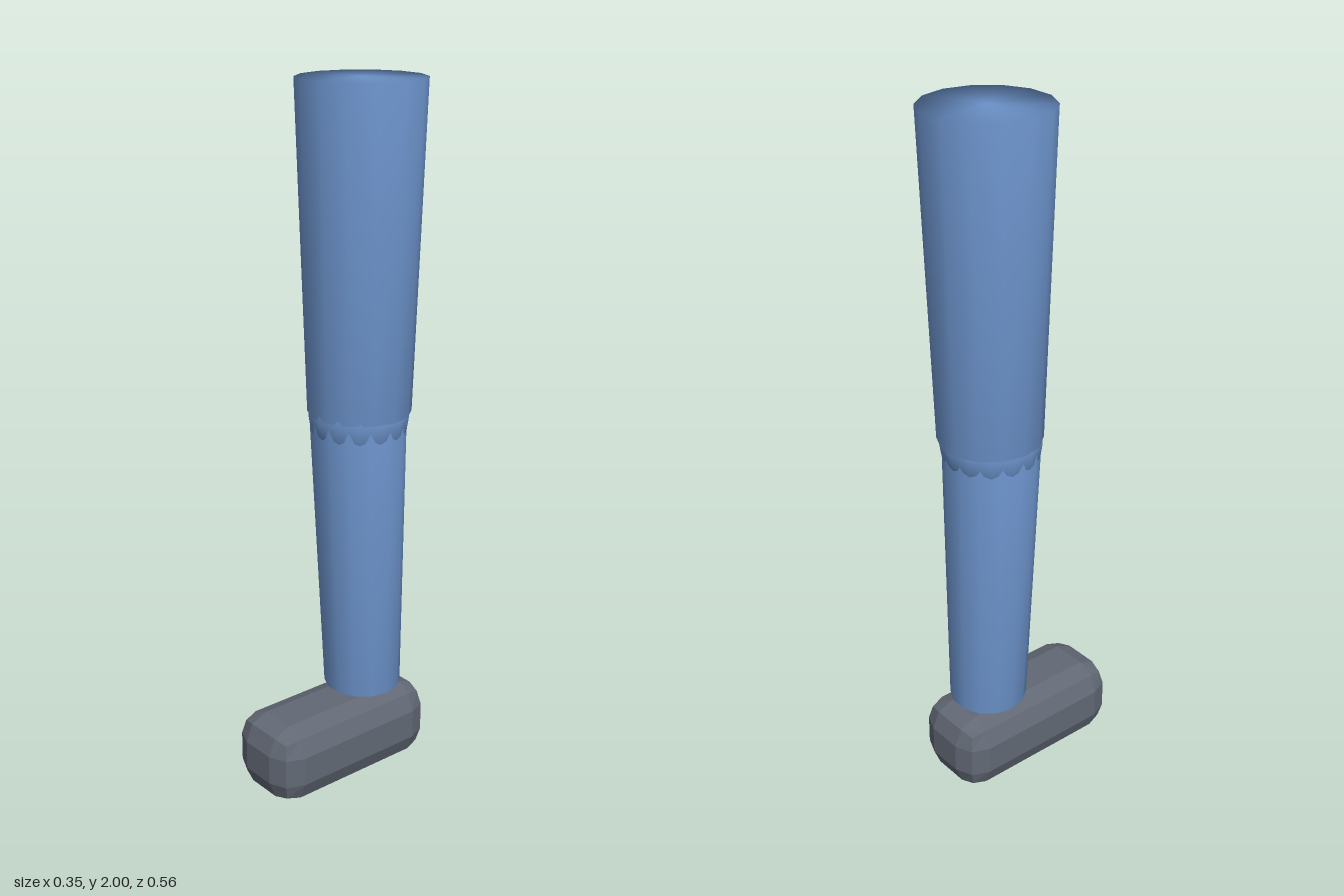
import * as THREE from 'three';
import { mergeVertices } from 'three/addons/utils/BufferGeometryUtils.js';
import { RoundedBoxGeometry } from 'three/addons/geometries/RoundedBoxGeometry.js';

const SIDES = 14;

// Weld all corners so that shading runs smoothly over walls and caps
function weld(geometry) {
  geometry.deleteAttribute('normal');
  geometry.deleteAttribute('uv');
  const welded = mergeVertices(geometry, 1e-4);
  welded.computeVertexNormals();
  return welded;
}

// Closed tapered limb between two rings, each { y, z, r }
function limb(top, bottom) {
  const height = top.y - bottom.y;
  const g = new THREE.CylinderGeometry(top.r, bottom.r, height, SIDES, 1, false, Math.PI / 2);
  const p = g.attributes.position;
  for (let i = 0; i < p.count; i++) {
    const t = p.getY(i) / height + 0.5;
    p.setZ(i, p.getZ(i) + THREE.MathUtils.lerp(bottom.z, top.z, t));
  }
  g.translate(0, (top.y + bottom.y) / 2, 0);
  return weld(g);
}

export function createModel() {
  const model = new THREE.Group();
  model.name = 'leg';

  const trouserBlue = new THREE.MeshStandardMaterial({ color: 0x6c93cb });
  trouserBlue.name = 'trouserBlue';
  const shoeGrey = new THREE.MeshStandardMaterial({ color: 0x626975 });
  shoeGrey.name = 'shoeGrey';

  const add = (name, geometry, material) => {
    const mesh = new THREE.Mesh(geometry, material);
    mesh.name = name;
    model.add(mesh);
    return mesh;
  };

  // Upper and lower leg
  add('thigh', limb({ y: 2, z: -0.095, r: 0.175 }, { y: 1.097, z: -0.095, r: 0.145 }), trouserBlue);
  add('shin', limb({ y: 1.1, z: -0.09, r: 0.136 }, { y: 0.25, z: -0.112, r: 0.112 }), trouserBlue);

  // Knee ball, turned half a step so it peeks out around the shin
  const ball = new THREE.SphereGeometry(0.142, SIDES, 10);
  ball.rotateY(Math.PI / SIDES);
  add('knee', weld(ball), trouserBlue).position.set(0, 1.09, -0.092);

  // Bevelled shoe block with flat faces
  const block = new RoundedBoxGeometry(0.25, 0.23, 0.556, 1, 0.072);
  const flat = block.index ? block.toNonIndexed() : block;
  flat.computeVertexNormals();
  add('shoe', flat, shoeGrey).position.set(0, 0.115, 0);

  return model;
}
